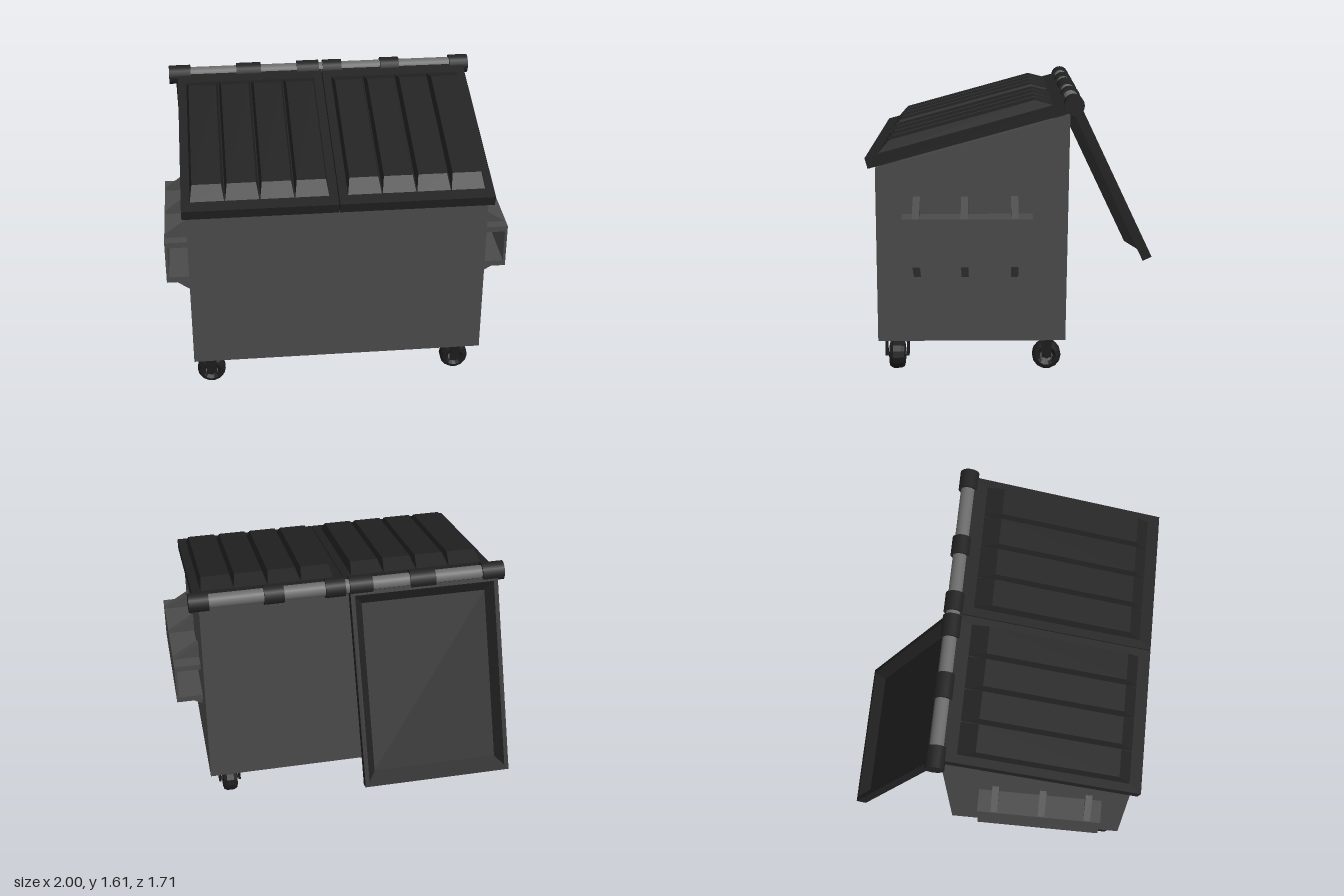
import * as THREE from 'three';

const mat = (color, opts = {}) => new THREE.MeshStandardMaterial({ color, ...opts });
const steel = mat(0x4a4a4a);
const plastic = mat(0x222222);
const rubber = mat(0x1c1c1c, { flatShading: true });
const rodMetal = mat(0x6c6c6c);

const X0 = -0.865, X1 = 0.84;          // side faces of the bin
const HINGE = [1.555, -0.31];          // y, z of the hinge axis

function add(parent, name, geometry, material, x = 0, y = 0, z = 0) {
  const mesh = new THREE.Mesh(geometry, material);
  mesh.name = name;
  mesh.position.set(x, y, z);
  parent.add(mesh);
  return mesh;
}

function group(parent, name) {
  const g = new THREE.Group();
  g.name = name;
  parent.add(g);
  return g;
}

const box = (w, h, d) => new THREE.BoxGeometry(w, h, d);

// Closed skin over a stack of rectangles [halfWidth, z0, z1, y], capped at both ends
function loft(rects) {
  const loops = rects.map(([h, z0, z1, y]) => [[-h, y, z1], [h, y, z1], [h, y, z0], [-h, y, z0]]);
  const pos = [];
  const quad = (a, b, c, d) => pos.push(...a, ...b, ...c, ...a, ...c, ...d);
  const first = loops[0], last = loops[loops.length - 1];
  quad(first[3], first[2], first[1], first[0]);
  quad(...last);
  for (let k = 0; k < loops.length - 1; k++) {
    const a = loops[k], b = loops[k + 1];
    for (let i = 0; i < 4; i++) {
      const j = (i + 1) % 4;
      quad(a[i], a[j], b[j], b[i]);
    }
  }
  const g = new THREE.BufferGeometry();
  g.setAttribute('position', new THREE.Float32BufferAttribute(pos, 3));
  g.computeVertexNormals();
  return g;
}

// Extrudes a (z, y) outline along x, starting at x = 0
function extrudeX(points, width) {
  const shape = new THREE.Shape(points.map(([z, y]) => new THREE.Vector2(-z, y)));
  const g = new THREE.ExtrudeGeometry(shape, { depth: width, bevelEnabled: false });
  return g.rotateY(Math.PI / 2);
}

// Hollow bin: sloped side walls, front, back and floor
function makeBin(root) {
  const bin = group(root, 'bin');
  const t = 0.02, width = X1 - X0;
  const side = [[0.8, 0.2], [0.8, 1.2], [-0.29, 1.5], [-0.27, 0.2]];
  add(bin, 'sideWall', extrudeX(side, t), steel, X0);
  add(bin, 'sideWall', extrudeX(side, t), steel, X1 - t);
  const inner = width - 2 * t;
  const panels = {
    frontWall: [[0.8, 0.2], [0.8, 1.2], [0.78, 1.205], [0.78, 0.2]],
    backWall: [[-0.25, 0.2], [-0.27, 1.494], [-0.29, 1.5], [-0.27, 0.2]],
    floor: [[0.78, 0.2], [0.78, 0.22], [-0.25, 0.22], [-0.25, 0.2]],
  };
  for (const [name, outline] of Object.entries(panels)) {
    add(bin, name, extrudeX(outline, inner), steel, X0 + t);
  }
}

// Lift sleeve on one side: open channel stiffened by triangular gussets
function makeSleeve(root, s) {
  const sleeve = group(root, s > 0 ? 'leftLiftSleeve' : 'rightLiftSleeve');
  const wall = s > 0 ? X1 : -X0, reach = 1 - wall, zMid = 0.285, len = 0.73;
  add(sleeve, 'outerPlate', box(0.015, 0.27, len), steel, s * 0.9925, 0.805, zMid);
  for (const y of [0.9225, 0.6875]) {
    add(sleeve, 'channelPlate', box(reach - 0.015, 0.035, len), steel, s * (wall + (reach - 0.015) / 2), y, zMid);
  }
  for (const z of [0.57, 0.3, 0.02]) {
    for (const [edge, tip] of [[0.94, 1.04], [0.67, 0.575]]) {
      const shape = new THREE.Shape([[wall, edge], [0.995, edge], [wall, tip]].map(([x, y]) => new THREE.Vector2(s * x, y)));
      const g = new THREE.ExtrudeGeometry(shape, { depth: 0.04, bevelEnabled: false });
      add(sleeve, 'gusset', g, steel, 0, 0, z - 0.02);
    }
  }
}

// Lid in hinge space: z runs from the hinge to the free edge, y is its outer side
function makeLid(root, name, x, angle) {
  const lid = group(root, name);
  lid.position.set(x, ...HINGE);
  lid.rotation.x = angle;
  const h = 0.4375;
  add(lid, 'lidTray', loft([
    [h - 0.07, 0.11, 1.12, 0.017],
    [h - 0.025, 0.055, 1.175, -0.037],
    [h, 0.03, 1.2, -0.037],
    [h, 0.03, 1.2, 0.025],
  ]), plastic);
  const pitch = 0.195;
  for (let i = 0; i < 4; i++) {
    add(lid, 'raisedPanel', loft([
      [pitch / 2 - 0.002, 0.107, 1.132, 0.022],
      [pitch / 2 - 0.016, 0.205, 1.046, 0.079],
    ]), plastic, (i - 1.5) * pitch);
  }
}

// Hinge rod with the lid collars
function makeHinge(root) {
  const hinge = group(root, 'hinge');
  const cylinder = (r, x0, x1, name, material) => {
    const g = new THREE.CylinderGeometry(r, r, x1 - x0, 16).rotateZ(Math.PI / 2);
    add(hinge, name, g, material, (x0 + x1) / 2, ...HINGE);
  };
  cylinder(0.042, -0.93, 0.89, 'hingeRod', rodMetal);
  const collars = [[-0.94, -0.81], [-0.53, -0.38], [-0.16, -0.025], [0, 0.115], [0.355, 0.47], [0.785, 0.9]];
  for (const [a, b] of collars) cylinder(0.056, a, b, 'hingeCollar', plastic);
}

// Caster with its wheel axle along x; turned about y for the swivelled ones
function makeCaster(root, name, x, z, turn) {
  const caster = group(root, name);
  caster.position.set(x, 0, z);
  caster.rotation.y = turn;
  const r = 0.083;
  const tyre = [[0.035, -0.03], [0.055, -0.046], [0.072, -0.042], [r, -0.022], [r, 0.022],
    [0.072, 0.042], [0.055, 0.046], [0.035, 0.03]].map(([a, b]) => new THREE.Vector2(a, b));
  add(caster, 'tyre', new THREE.LatheGeometry(tyre, 14).rotateZ(Math.PI / 2), rubber, 0, r, 0);
  add(caster, 'hub', new THREE.CylinderGeometry(0.036, 0.036, 0.064, 12).rotateZ(Math.PI / 2), rodMetal, 0, r, 0);
  add(caster, 'axle', new THREE.CylinderGeometry(0.012, 0.012, 0.13, 8).rotateZ(Math.PI / 2), rubber, 0, r, 0);
  add(caster, 'forkTop', box(0.14, 0.022, 0.08), rubber, 0, 0.189, 0);
  for (const s of [-1, 1]) {
    add(caster, 'forkLeg', box(0.014, 0.11, 0.06), rubber, s * 0.062, 0.135, 0);
  }
}

export function createModel() {
  const root = new THREE.Group();
  root.name = 'wasteContainer';
  makeBin(root);
  makeSleeve(root, 1);
  makeSleeve(root, -1);
  makeLid(root, 'closedLidRight', -0.45, 0.268);
  makeLid(root, 'closedLidLeft', 0.43, 0.268);
  makeLid(root, 'openLid', -0.4625, 2.014);
  makeHinge(root);
  makeCaster(root, 'frontCasterRight', -0.765, 0.7, Math.PI / 2);
  makeCaster(root, 'frontCasterLeft', 0.705, 0.7, Math.PI / 2);
  makeCaster(root, 'backCasterRight', -0.755, -0.165, 0);
  makeCaster(root, 'backCasterLeft', 0.715, -0.165, 0);
  return root;
}
